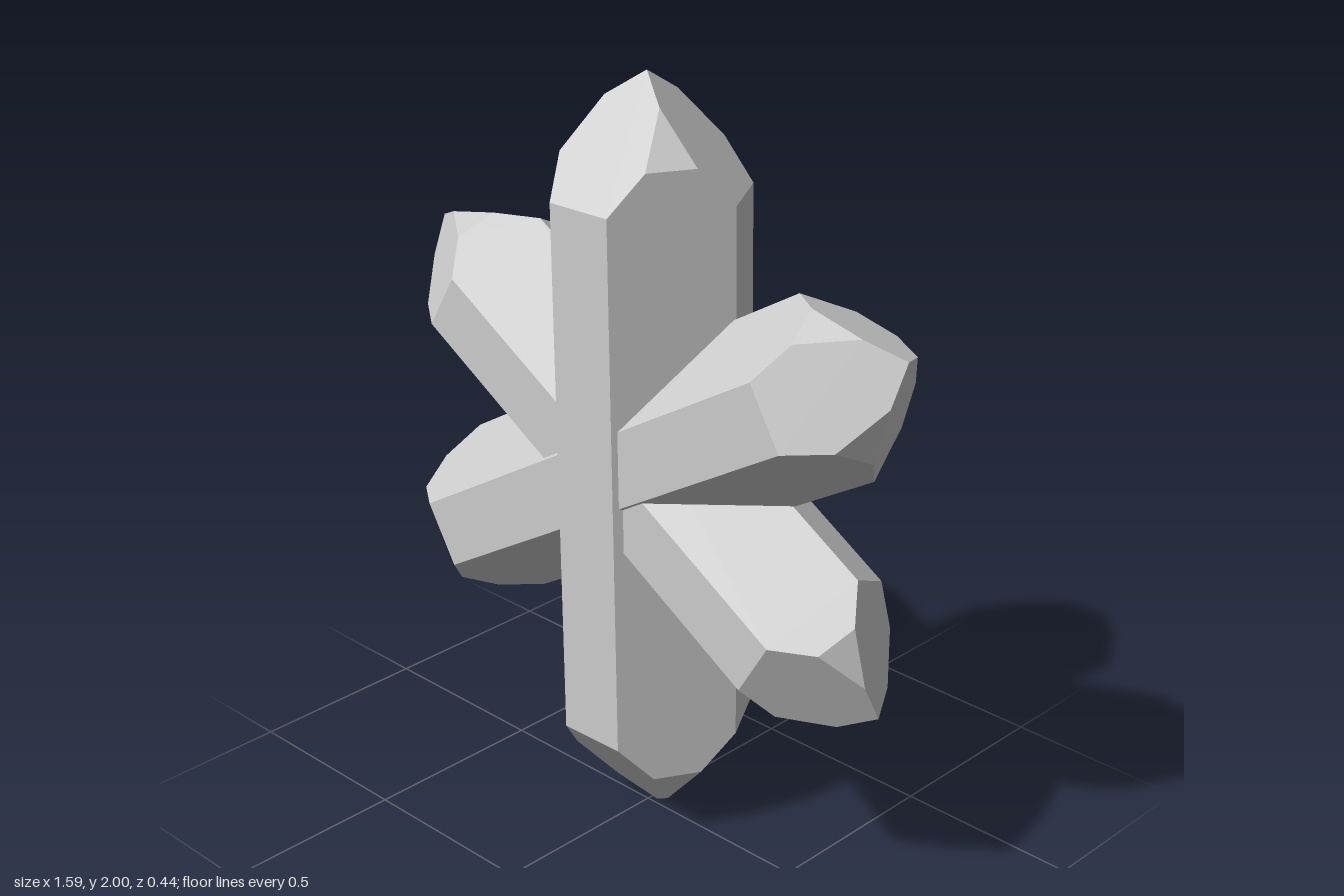
import * as THREE from 'three';
import { ConvexGeometry } from 'three/addons/geometries/ConvexGeometry.js';

// Cross-section: six sides, alternately narrow (facing front) and wide
const NARROW_DIST = 0.2367, NARROW_HALF = 0.095, WIDE_DIST = 0.2005;
const SLOPE = 0.29 / NARROW_DIST; // drop of the main tip facets per unit of radius

// Point at a distance along a compass direction (0 = +z), shifted sideways
function point(angle, dist, side, y) {
  const s = Math.sin(angle), c = Math.cos(angle);
  return new THREE.Vector3(dist * s + side * c, y, dist * c - side * s);
}

// Double-ended crystal along y, half length 1
function crystalGeometry() {
  const points = [];
  const ridge = 0.105;   // where the tip ridge ends at a small facet
  const facetDrop = 0.19; // lower edge of the small facet
  const facetHalf = (facetDrop / SLOPE - WIDE_DIST * 0.5) / Math.sin(Math.PI / 3);
  for (const end of [1, -1]) {
    points.push(new THREE.Vector3(0, end, 0));
    for (let k = 0; k < 3; k++) {
      const a = k * Math.PI * 2 / 3, b = a + Math.PI / 3;
      // lower corners of a main facet, above a narrow side
      for (const m of [1, -1]) {
        points.push(point(a, NARROW_DIST, m * NARROW_HALF, end * (1 - SLOPE * NARROW_DIST)));
      }
      // small triangular facet above a wide side
      points.push(point(b, ridge, 0, end * (1 - SLOPE * ridge * 0.5)));
      for (const m of [1, -1]) {
        points.push(point(b, WIDE_DIST, m * facetHalf, end * (1 - facetDrop)));
      }
    }
  }
  return new ConvexGeometry(points);
}

export function createModel() {
  const group = new THREE.Group();
  group.name = 'crystalCluster';
  const grey = new THREE.MeshStandardMaterial({ color: 0xcccccc });
  grey.name = 'crystalGrey';
  const geometry = crystalGeometry();

  function addCrystal(name, scale, y, z, degrees) {
    const mesh = new THREE.Mesh(geometry, grey);
    mesh.name = name;
    mesh.scale.setScalar(scale);
    mesh.position.set(0, y, z);
    mesh.rotation.z = THREE.MathUtils.degToRad(degrees);
    group.add(mesh);
  }

  addCrystal('uprightCrystal', 1, 1.0, -0.015, 1.1);
  addCrystal('crystalRisingLeft', 0.93, 1.012, -0.012, -58.9);
  addCrystal('crystalRisingRight', 0.885, 1.015, -0.01, 59.1);
  return group;
}
